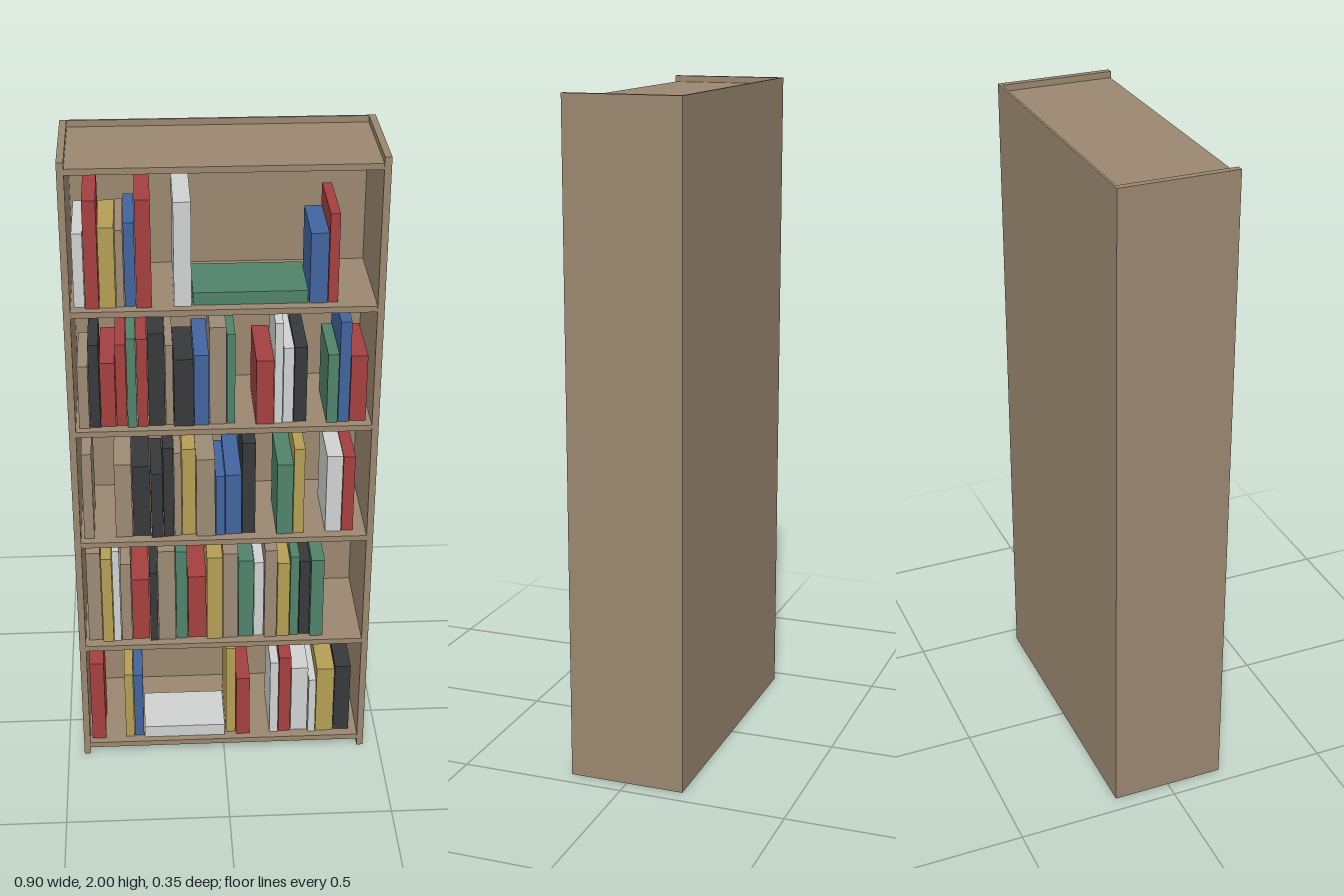
import * as THREE from 'three';

const material = (name, color) => new THREE.MeshStandardMaterial({ name, color });

export function createModel() {
  const wood = material('wood', 0x9b8770);
  const red = material('red cover', 0xa43f40);
  const blue = material('blue cover', 0x41659f);
  const green = material('green cover', 0x50836a);
  const yellow = material('yellow cover', 0xb49f55);
  const tan = material('tan cover', 0x9c8b75);
  const white = material('white cover', 0xcfd2d0);
  const black = material('black cover', 0x37383b);

  const model = new THREE.Group();
  model.name = 'bookcase';

  // Box given by its minimum and maximum on each axis
  function box(parent, name, mat, [x0, x1], [y0, y1], [z0, z1]) {
    const mesh = new THREE.Mesh(new THREE.BoxGeometry(x1 - x0, y1 - y0, z1 - z0), mat);
    mesh.name = name;
    mesh.position.set((x0 + x1) / 2, (y0 + y1) / 2, (z0 + z1) / 2);
    parent.add(mesh);
  }

  // Carcass: sides, back, top and bottom
  const inner = [-0.43, 0.43];
  const depth = [-0.168, 0.173];
  box(model, 'leftSide', wood, [0.43, 0.45], [0, 2], [-0.175, 0.175]);
  box(model, 'rightSide', wood, [-0.45, -0.43], [0, 2], [-0.175, 0.175]);
  box(model, 'back', wood, inner, [0, 2], [-0.175, -0.168]);
  box(model, 'topBoard', wood, inner, [1.963, 1.981], depth);

  // Evenly spaced boards; books stand on their upper faces
  const shelfTop = (i) => 0.041 + 0.38 * i;
  for (let i = 0; i < 5; i++) {
    const y = shelfTop(i);
    box(model, i ? 'shelf' : 'bottomBoard', wood, inner, [y - 0.018, y], depth);
  }

  const books = new THREE.Group();
  books.name = 'books';
  model.add(books);

  // Run of upright books: [cover, thickness, height] in hundredths
  let count = 0;
  function run(shelf, x, list) {
    const y = shelfTop(shelf);
    for (const [cover, thick, height] of list) {
      const w = thick / 100;
      const front = 0.15 - 0.004 * (count % 4);
      const deep = 0.21 + 0.01 * ((count * 3) % 5);
      box(books, 'book', cover, [x, x + w - 0.002], [y, y + height / 100], [front - deep, front]);
      x += w;
      count++;
    }
  }

  // Bottom shelf
  run(0, -0.423, [[red, 4.6, 29.5]]);
  run(0, -0.315, [[yellow, 2.9, 24.5], [blue, 3.1, 24]]);
  box(books, 'lyingBook', white, [-0.254, 0.003], [shelfTop(0), 0.082], [-0.025, 0.152]);
  run(0, 0.008, [[yellow, 3.2, 33], [red, 4.5, 22]]);
  run(0, 0.148, [[white, 2.9, 27.5], [red, 4, 29], [white, 5.5, 24.5], [white, 2.5, 20.5],
    [yellow, 5.8, 24.5], [black, 5.2, 25]]);

  // Second shelf
  run(1, -0.42, [[tan, 4.5, 32], [yellow, 3.4, 30.5], [white, 2.4, 33], [tan, 3.4, 28],
    [red, 5.5, 22], [black, 2.6, 25], [tan, 5.5, 32.5], [green, 3.7, 32], [red, 5.8, 22.5],
    [yellow, 5, 30], [tan, 4.8, 31], [green, 4.8, 28], [white, 3.2, 27], [tan, 4, 32],
    [yellow, 4, 27], [green, 2.9, 29], [black, 3.4, 27], [green, 4.2, 28]]);

  // Third shelf
  run(2, -0.42, [[tan, 3.2, 29]]);
  run(2, -0.325, [[tan, 5.3, 25], [black, 5.5, 24], [black, 3.7, 22], [black, 3.2, 30.5],
    [tan, 2.4, 28.5], [yellow, 4.2, 29.5], [tan, 5.8, 26.5], [blue, 2.9, 20.5],
    [blue, 5, 20.5], [black, 4.2, 31]]);
  run(2, 0.159, [[green, 5, 24], [yellow, 3.4, 29]]);
  run(2, 0.307, [[white, 5, 26], [red, 3.7, 25.5]]);

  // Fourth shelf
  run(3, -0.42, [[tan, 3.2, 20], [black, 3.2, 26.5], [red, 4.5, 20.5], [red, 3.2, 26],
    [green, 2.9, 28.5], [red, 3.2, 28], [black, 5, 29.5], [tan, 2.4, 25.5], [black, 5.8, 21.5],
    [blue, 4.5, 22.5], [tan, 5, 31], [green, 2.6, 28.5]]);
  run(3, 0.093, [[red, 5.3, 20.5], [white, 2.6, 32], [white, 3.2, 24], [black, 3.9, 24]]);
  run(3, 0.299, [[green, 3.4, 22], [blue, 3.4, 32], [red, 5, 21]]);

  // Top shelf
  run(4, -0.42, [[white, 3.2, 22], [red, 4, 32], [yellow, 4.7, 24], [tan, 2.4, 23],
    [blue, 3.2, 25], [red, 4.5, 32]]);
  run(4, -0.14, [[white, 5.1, 31]]);
  box(books, 'lyingBook', green, [-0.087, 0.237], [shelfTop(4), 1.599], [-0.065, 0.14]);
  run(4, 0.241, [[blue, 5.3, 21], [red, 3, 26.5]]);

  return model;
}
